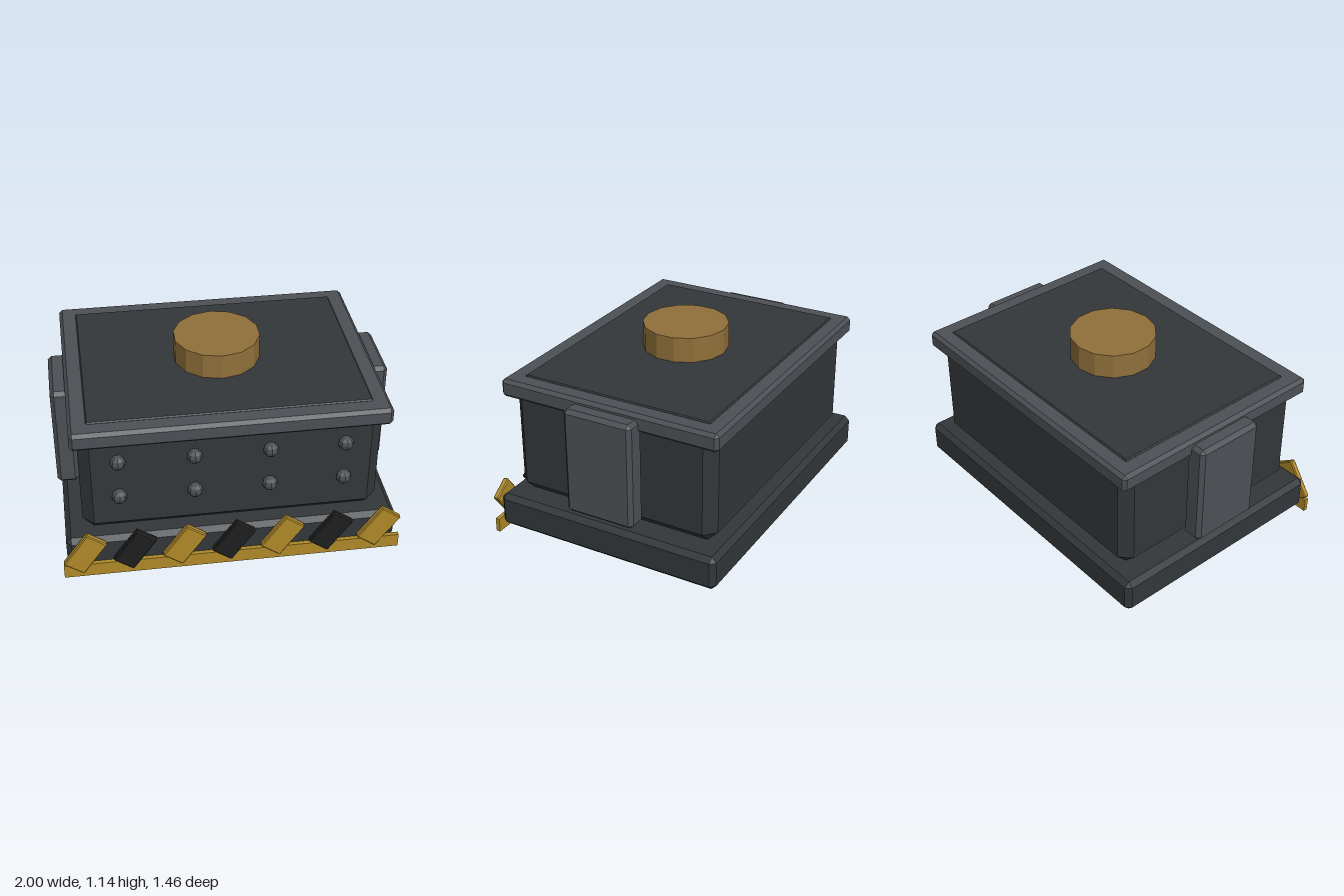
import * as THREE from 'three';
import { ConvexGeometry } from 'three/addons/geometries/ConvexGeometry.js';

const paint = (color) => new THREE.MeshStandardMaterial({ color, flatShading: true });

// Box with every edge chamfered by c, centred on the origin
function chamferBox(w, h, d, c) {
  const points = [];
  for (const sx of [-1, 1]) for (const sy of [-1, 1]) for (const sz of [-1, 1]) {
    const x = w / 2, y = h / 2, z = d / 2;
    points.push(
      new THREE.Vector3(sx * x, sy * (y - c), sz * (z - c)),
      new THREE.Vector3(sx * (x - c), sy * y, sz * (z - c)),
      new THREE.Vector3(sx * (x - c), sy * (y - c), sz * z));
  }
  return new ConvexGeometry(points);
}

export function createModel() {
  const model = new THREE.Group();
  model.name = 'pressureButtonBox';

  const dark = paint(0x33373a);
  const steel = paint(0x4c5055);
  const brass = paint(0x90703a);
  const yellow = paint(0xb08a28);
  const black = paint(0x1e1e1e);

  function add(name, geometry, material, x, y, z) {
    const mesh = new THREE.Mesh(geometry, material);
    mesh.name = name;
    mesh.position.set(x, y, z);
    model.add(mesh);
    return mesh;
  }

  // Chamfered block given by its limits on each axis
  function block(name, material, [x0, x1], [y0, y1], [z0, z1], c) {
    return add(name, chamferBox(x1 - x0, y1 - y0, z1 - z0, c), material,
      (x0 + x1) / 2, (y0 + y1) / 2, (z0 + z1) / 2);
  }

  // Main stack: plinth, body, lid and inset top panel
  block('base', dark, [-0.975, 0.975], [0.04, 0.25], [-0.732, 0.698], 0.03);
  block('body', dark, [-0.87, 0.87], [0.25, 0.95], [-0.667, 0.635], 0.065);
  block('lid', steel, [-0.912, 0.912], [0.87, 0.98], [-0.711, 0.68], 0.02);
  block('topPanel', dark, [-0.812, 0.812], [0.95, 0.988], [-0.614, 0.577], 0.007);

  // Round button with 14 sides
  add('button', new THREE.CylinderGeometry(0.257, 0.257, 0.18, 14), brass, 0, 1.05, -0.016);

  // Side brackets
  block('leftBracket', steel, [0.87, 1], [0.295, 0.947], [-0.23, 0.204], 0.023);
  block('rightBracket', steel, [-1, -0.87], [0.295, 0.947], [-0.23, 0.204], 0.023);

  // Two rows of rivets on the front
  const rivet = new THREE.SphereGeometry(0.045, 8, 6);
  for (const y of [0.515, 0.755]) {
    for (let i = 0; i < 4; i++) add('rivet', rivet, steel, -0.651 + i * 0.434, y, 0.65);
  }

  // Front trim strip with slanted warning stripes
  add('trimStrip', new THREE.BoxGeometry(2, 0.086, 0.026), yellow, 0, 0.043, 0.71);
  const stripe = chamferBox(0.141, 0.25, 0.036, 0.006);
  for (let i = 0; i < 7; i++) {
    const mesh = add('warningStripe', stripe, i % 2 ? black : yellow, (i - 3) * 0.29, 0.166, 0.713);
    mesh.rotation.z = -0.62;
  }

  return model;
}
